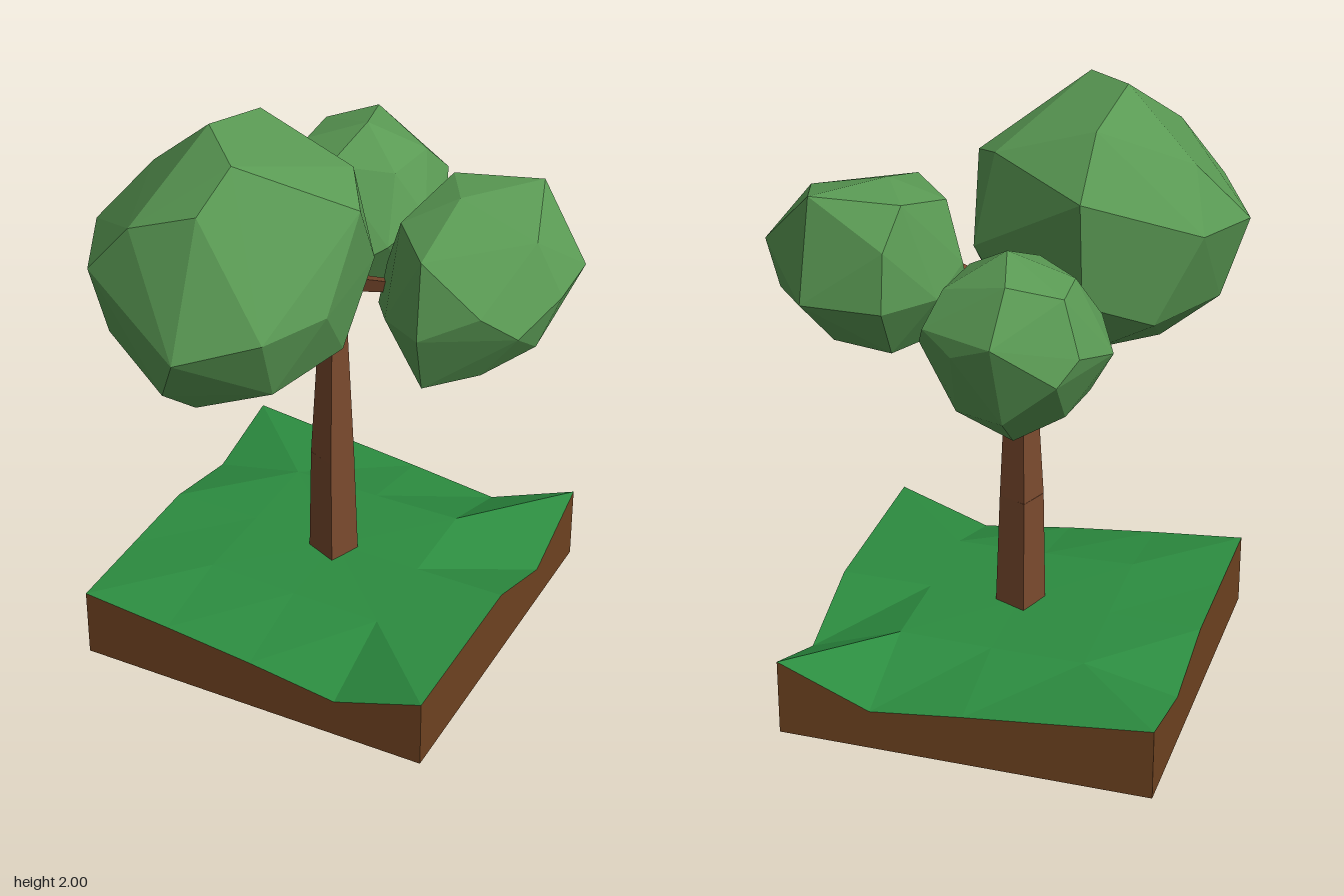
import * as THREE from 'three';
import { ConvexGeometry } from 'three/addons/geometries/ConvexGeometry.js';

const V = (x, y, z) => new THREE.Vector3(x, y, z);
const paint = (color) => new THREE.MeshStandardMaterial({ color, flatShading: true });

function fromTriangles(points, name, material) {
  const geo = new THREE.BufferGeometry().setFromPoints(points);
  geo.computeVertexNormals();
  const mesh = new THREE.Mesh(geo, material);
  mesh.name = name;
  return mesh;
}

// Four-sided tapered limb from a to b
function limb(a, b, ra, rb, name, material) {
  const mesh = new THREE.Mesh(new THREE.CylinderGeometry(rb, ra, a.distanceTo(b), 4), material);
  mesh.position.copy(a).lerp(b, 0.5);
  mesh.quaternion.setFromUnitVectors(V(0, 1, 0), b.clone().sub(a).normalize());
  mesh.rotateY(0.4);
  mesh.name = name;
  return mesh;
}

// Faceted leaf ball wrapped round its corner points
function crown(corners, name, material) {
  const mesh = new THREE.Mesh(new ConvexGeometry(corners.map((c) => V(...c))), material);
  mesh.name = name;
  return mesh;
}

// Ground heights: rows run back to front, columns run -x to +x
const heights = [
  [0.25, 0.215, 0.18, 0.14, 0.27],
  [0.18, 0.25, 0.25, 0.255, 0.14],
  [0.25, 0.255, 0.25, 0.25, 0.25],
  [0.25, 0.265, 0.255, 0.25, 0.25],
  [0.25, 0.22, 0.185, 0.14, 0.25],
];

const bigCrown = [
  [-0.33, 2, 0.27], [-0.165, 1.975, 0.43], [-0.3, 1.935, 0], [0.035, 1.82, 0.02], [0.135, 1.765, 0.17],
  [0.13, 1.5, 0.385], [0.1, 1.5, 0.0], [-0.3, 1.76, -0.18], [-0.735, 1.58, 0.3], [-0.58, 1.6, 0.605],
  [-0.205, 1.44, 0.755], [0.03, 1.5, 0.615], [-0.64, 1.6, 0.055], [-0.575, 1.78, 0.2], [-0.43, 1.78, 0.6],
  [-0.2, 1.87, 0.585], [-0.645, 1.295, 0.3], [-0.46, 1.15, 0.25], [-0.1, 1.12, 0.34], [-0.3, 1.25, 0.66],
  [-0.25, 1.15, 0.545], [0.09, 1.27, 0.2], [0, 1.25, 0.5], [-0.3, 1.16, 0.08], [-0.5, 1.3, 0],
  [-0.3, 1.4, -0.14], [0, 1.35, -0.02], [-0.55, 1.35, 0.55],
];

const backCrown = [
  [-0.15, 1.705, -0.45], [-0.2, 1.67, -0.635], [-0.19, 1.52, -0.76], [-0.2, 1.23, -0.665], [-0.18, 1.105, -0.41],
  [-0.05, 1.45, -0.7], [0.06, 1.5, -0.635], [0.11, 1.4, -0.52], [0.1, 1.45, -0.38], [0.04, 1.4, -0.22],
  [-0.04, 1.35, -0.16], [-0.28, 1.4, -0.18], [-0.4, 1.45, -0.27], [-0.48, 1.4, -0.43], [-0.42, 1.45, -0.6],
  [-0.37, 1.38, -0.67], [-0.35, 1.62, -0.4], [-0.2, 1.62, -0.27], [0, 1.6, -0.35], [0.02, 1.6, -0.55],
  [-0.36, 1.62, -0.56], [-0.35, 1.2, -0.5], [-0.32, 1.18, -0.32], [-0.1, 1.15, -0.27], [0.02, 1.22, -0.4],
  [-0.02, 1.2, -0.56], [-0.2, 1.12, -0.55], [-0.4, 1.25, -0.4],
];

const leftCrown = [
  [0.54, 1.74, -0.31], [0.355, 1.74, -0.08], [0.255, 1.72, -0.25], [0.28, 1.6, -0.36], [0.73, 1.535, -0.21],
  [0.72, 1.5, -0.05], [0.63, 1.67, -0.05], [0.66, 1.33, 0], [0.65, 1.42, 0.12], [0.55, 1.5, 0.185],
  [0.365, 1.4, 0.245], [0.22, 1.4, 0.17], [0.19, 1.65, 0], [0.35, 1.65, 0.19], [0.11, 1.33, -0.01],
  [0.12, 1.46, -0.05], [0.15, 1.4, -0.22], [0.28, 1.4, -0.385], [0.55, 1.4, -0.39], [0.51, 1.2, -0.2],
  [0.35, 1.105, 0], [0.2, 1.2, -0.05], [0.35, 1.18, 0.17], [0.3, 1.2, -0.24], [0.52, 1.24, 0.1],
  [0.66, 1.4, -0.27],
];

export function createModel() {
  const group = new THREE.Group();
  const grass = paint(0x2c8c40);
  const soil = paint(0x6e4220);
  const bark = paint(0x7a4a2e);
  const leaves = paint(0x5a9a54);

  // Uneven grass, one square of four by four at a time
  const at = (i, j) => V(-0.705 + i * 0.314, heights[j][i], -0.7 + j * 0.314);
  const top = [];
  for (let j = 0; j < 4; j++) {
    for (let i = 0; i < 4; i++) {
      const a = at(i, j), b = at(i, j + 1), c = at(i + 1, j + 1), d = at(i + 1, j);
      if (i === j) top.push(a, b, c, a, c, d);
      else top.push(a, b, d, b, c, d);
    }
  }
  group.add(fromTriangles(top, 'grass', grass));

  // Soil walls follow the grass rim down to a flat underside
  const rim = [];
  for (let k = 0; k < 4; k++) rim.push(at(k, 4));
  for (let k = 4; k > 0; k--) rim.push(at(4, k));
  for (let k = 4; k > 0; k--) rim.push(at(k, 0));
  for (let k = 0; k < 4; k++) rim.push(at(0, k));
  const floor = (p) => V(p.x, 0, p.z);
  const walls = [];
  rim.forEach((p, k) => {
    const q = rim[(k + 1) % rim.length];
    walls.push(floor(p), floor(q), q, floor(p), q, p);
  });
  const [fl, fr, br, bl] = [at(0, 4), at(4, 4), at(4, 0), at(0, 0)].map(floor);
  walls.push(fl, bl, br, fl, br, fr);
  group.add(fromTriangles(walls, 'soil', soil));

  // Trunk in two tapered lengths, then three branches
  const middle = V(-0.08, 0.65, -0.055);
  const fork = V(-0.07, 1.36, -0.045);
  group.add(limb(V(-0.078, 0.2, -0.058), middle, 0.085, 0.073, 'lowerTrunk', bark));
  group.add(limb(middle, fork, 0.073, 0.037, 'upperTrunk', bark));
  const start = V(-0.07, 1.34, -0.045);
  group.add(limb(start, V(-0.2, 1.5, 0.15), 0.036, 0.025, 'frontBranch', bark));
  group.add(limb(start, V(-0.15, 1.43, -0.32), 0.036, 0.022, 'backBranch', bark));
  group.add(limb(start, V(0.25, 1.44, 0.02), 0.036, 0.02, 'leftBranch', bark));

  // Leaf crowns
  group.add(crown(bigCrown, 'frontCrown', leaves));
  group.add(crown(backCrown, 'backCrown', leaves));
  group.add(crown(leftCrown, 'leftCrown', leaves));

  return group;
}
